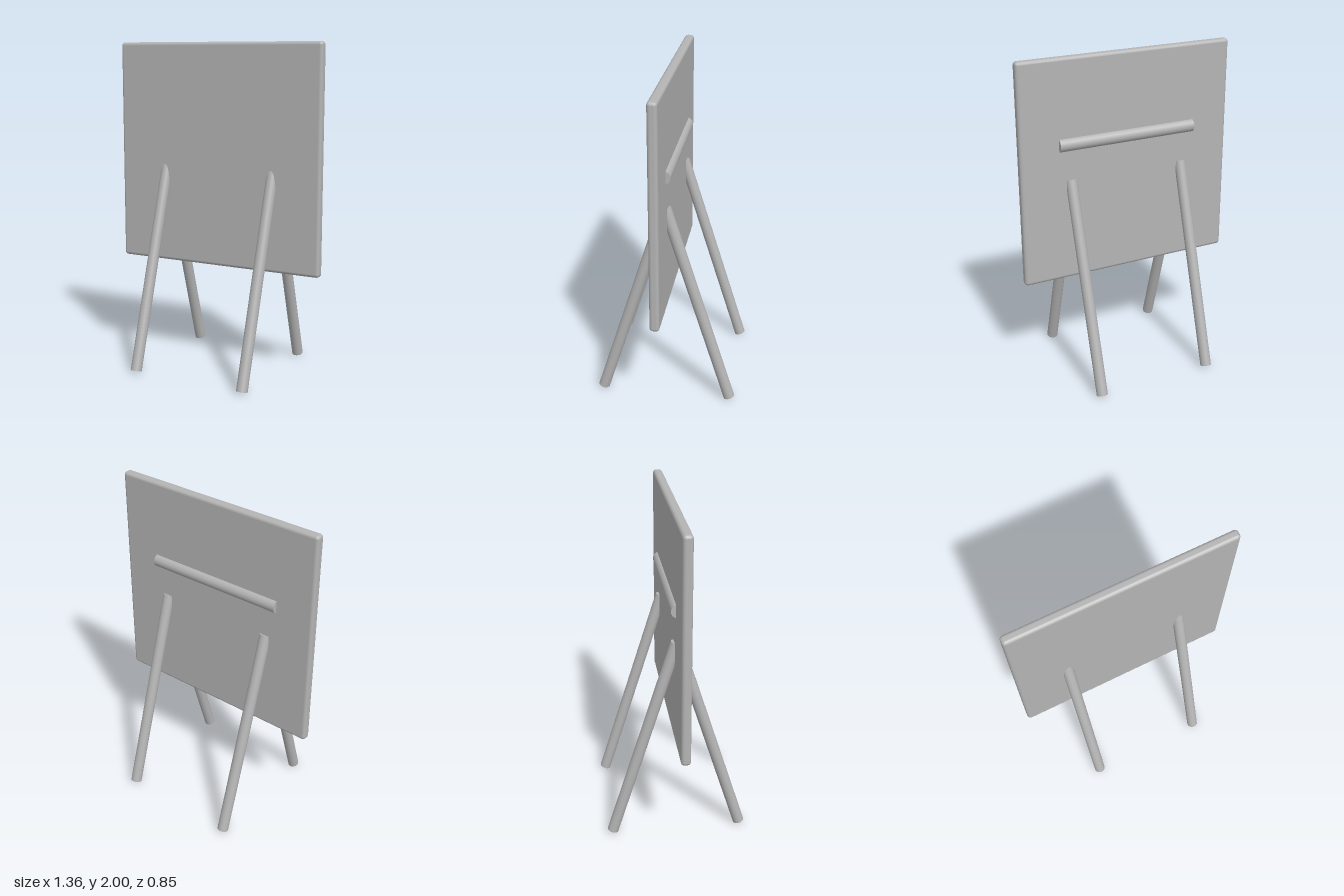
import * as THREE from 'three';
import { RoundedBoxGeometry } from 'three/addons/geometries/RoundedBoxGeometry.js';

const grey = new THREE.MeshStandardMaterial({ color: 0xb4b4b4 });
grey.name = 'grey';

// Round rod between two points
function rod(name, a, b, radius) {
  const axis = b.clone().sub(a);
  const mesh = new THREE.Mesh(new THREE.CylinderGeometry(radius, radius, axis.length(), 32), grey);
  mesh.position.copy(a).add(b).multiplyScalar(0.5);
  mesh.quaternion.setFromUnitVectors(new THREE.Vector3(0, 1, 0), axis.normalize());
  mesh.name = name;
  return mesh;
}

export function createModel() {
  const group = new THREE.Group();
  group.name = 'standingBoard';

  // Square panel with softened edges
  const panel = new THREE.Mesh(new RoundedBoxGeometry(1.36, 1.36, 0.058, 2, 0.02), grey);
  panel.name = 'panel';
  panel.position.set(0, 1.32, 0.014);
  group.add(panel);

  // Four splayed legs meeting inside the panel
  for (const x of [-0.365, 0.365]) {
    for (const side of [1, -1]) {
      group.add(rod(
        side > 0 ? 'frontLeg' : 'backLeg',
        new THREE.Vector3(x, 0.011, side * 0.395),
        new THREE.Vector3(x, 1.27, side * 0.002),
        0.034
      ));
    }
  }

  // Horizontal bar half sunk in the back of the panel
  group.add(rod('backBar', new THREE.Vector3(-0.44, 1.49, -0.004), new THREE.Vector3(0.44, 1.49, -0.004), 0.04));

  return group;
}
